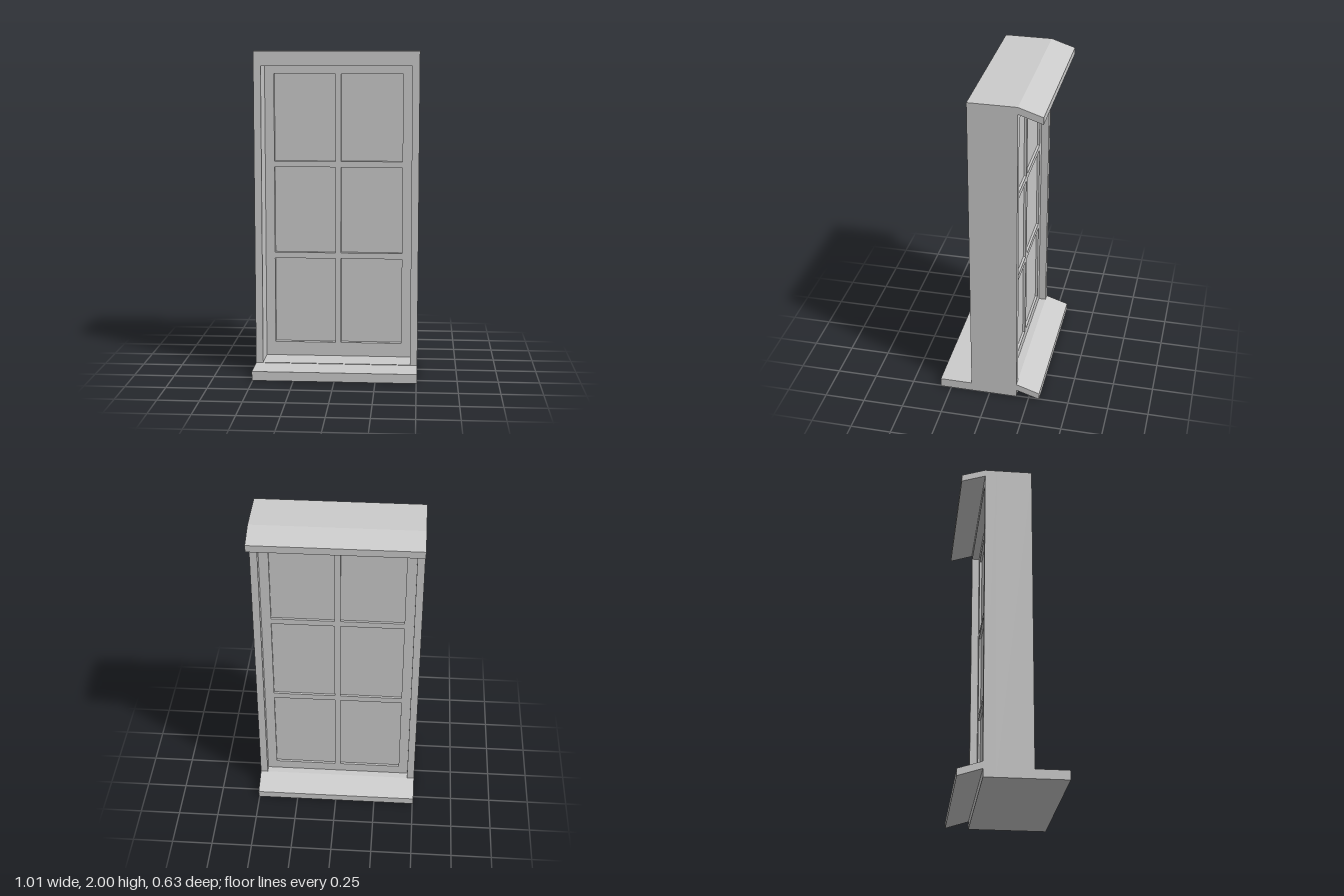
import * as THREE from 'three';

const W = 1.01;

export function createModel() {
  const group = new THREE.Group();
  const material = new THREE.MeshStandardMaterial({ color: 0xcccccc });

  const add = (name, geometry) => {
    const mesh = new THREE.Mesh(geometry, material);
    mesh.name = name;
    group.add(mesh);
    return mesh;
  };

  const rect = (Type, x0, y0, x1, y1) => new Type([
    [x0, y0], [x1, y0], [x1, y1], [x0, y1],
  ].map(([x, y]) => new THREE.Vector2(x, y)));

  // Flat panel with rectangular openings, spanning zBack to zFront
  const panel = (name, outer, openings, zBack, zFront) => {
    const shape = rect(THREE.Shape, ...outer);
    shape.holes = openings.map((o) => rect(THREE.Path, ...o));
    const geometry = new THREE.ExtrudeGeometry(shape, { depth: zFront - zBack, bevelEnabled: false });
    add(name, geometry.translate(0, 0, zBack));
  };

  // Deep wall surround and the casing behind it
  panel('surround', [-W / 2, 0, W / 2, 2], [[-0.46, 0.06, 0.46, 1.91]], -0.1, 0.117);
  panel('backCasing', [-W / 2, 0, W / 2, 2], [[-0.46, 0.09, 0.46, 1.91]], -0.172, -0.1);

  // Sash with two columns and three rows of panes
  const panes = [];
  for (const [y0, y1] of [[0.148, 0.693], [0.73, 1.275], [1.312, 1.857]]) {
    panes.push([-0.402, y0, -0.018, y1], [0.018, y0, 0.402, y1]);
  }
  panel('sash', [-0.46, 0.06, 0.46, 1.91], panes, -0.125, -0.07);

  // Glass inside the sash
  panes.forEach(([x0, y0, x1, y1]) => {
    add('glassPane', new THREE.BoxGeometry(x1 - x0, y1 - y0, 0.008))
      .position.set((x0 + x1) / 2, (y0 + y1) / 2, -0.106);
  });

  // Inner sill board
  add('sill', new THREE.BoxGeometry(W, 0.057, 0.2)).position.set(0, 0.0285, 0.217);

  // Sloping slabs at the back: rain hood above, outer sill below
  for (const [name, top] of [['rainHood', 2], ['outerSill', 0.092]]) {
    const profile = new THREE.Shape([
      [0.172, top], [0.172, top - 0.043], [0.317, top - 0.09], [0.317, top - 0.047],
    ].map(([x, y]) => new THREE.Vector2(x, y)));
    const geometry = new THREE.ExtrudeGeometry(profile, { depth: W, bevelEnabled: false });
    geometry.translate(0, 0, -W / 2).rotateY(Math.PI / 2);
    add(name, geometry);
  }

  return group;
}
